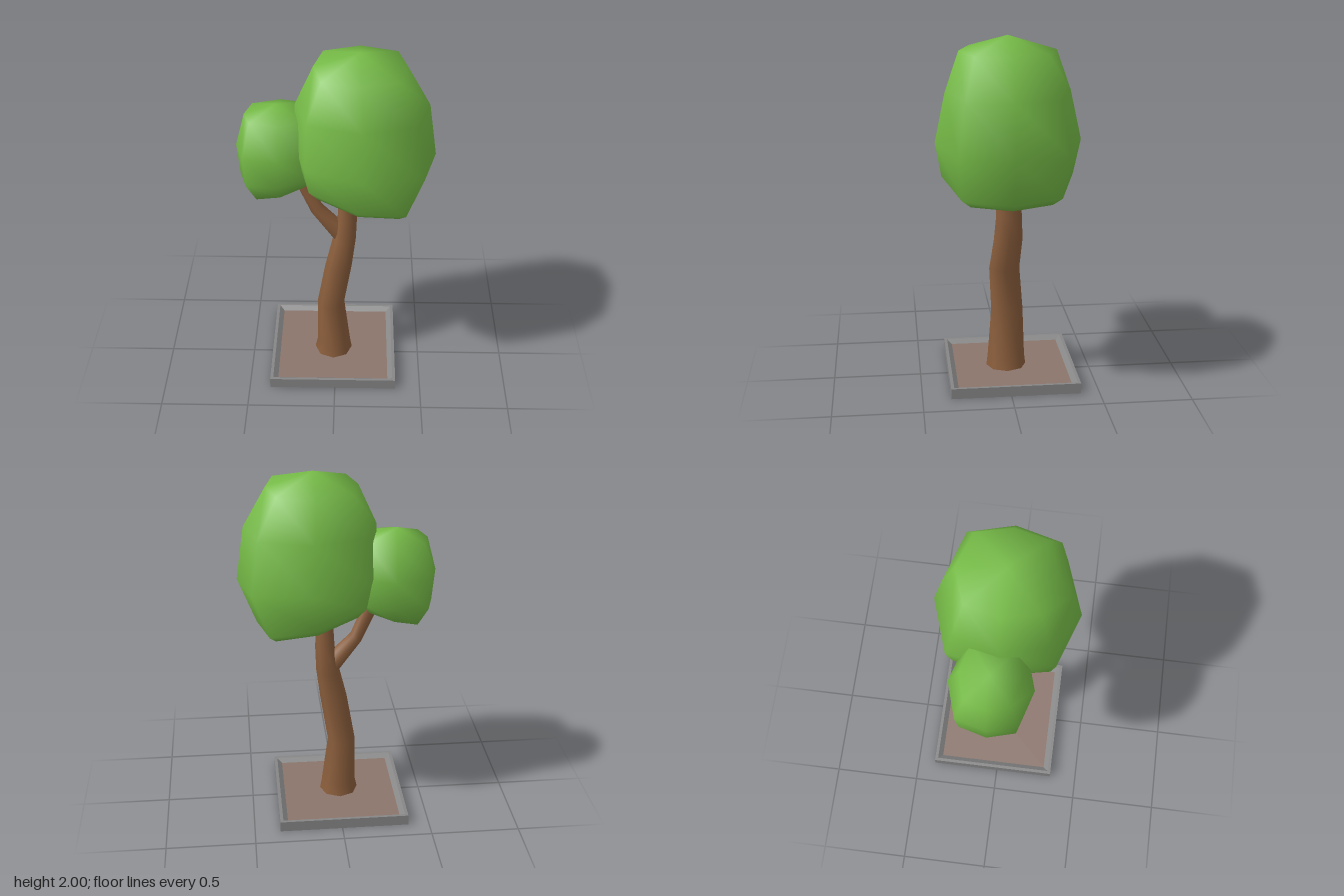
import * as THREE from 'three';
import { mergeVertices } from 'three/addons/utils/BufferGeometryUtils.js';

// Skin through rings; each ring is [x0, y0, x1, y1, zCentre, zRadius]:
// its -x and +x ends, so a ring may tilt, and its depth. Square > 0 fills out the corners.
function loft(rings, { sides = 8, phase = 0, square = 0, flat = false } = {}) {
  const pos = [];
  const index = [];
  const bulge = (v, p) => Math.sign(v) * Math.pow(Math.abs(v), p);
  for (const [x0, y0, x1, y1, zc, rz] of rings) {
    for (let s = 0; s < sides; s++) {
      const a = phase + (s / sides) * Math.PI * 2;
      const c = bulge(Math.cos(a), 1 - square * 0.4);
      const d = bulge(Math.sin(a), 1 - square * 0.12);
      const t = (c + 1) / 2;
      pos.push(x0 + (x1 - x0) * t, y0 + (y1 - y0) * t, zc + rz * d);
    }
  }
  for (let r = 0; r < rings.length - 1; r++) {
    for (let s = 0; s < sides; s++) {
      const a = r * sides + s;
      const d = r * sides + ((s + 1) % sides);
      index.push(a, a + sides, d + sides, a, d + sides, d);
    }
  }
  let geo = new THREE.BufferGeometry();
  geo.setAttribute('position', new THREE.Float32BufferAttribute(pos, 3));
  geo.setIndex(index);
  geo = flat ? geo.toNonIndexed() : mergeVertices(geo, 1e-4);
  geo.computeVertexNormals();
  return geo;
}

export function createModel() {
  const material = (name, color) => {
    const m = new THREE.MeshStandardMaterial({ color });
    m.name = name;
    return m;
  };
  const leaf = material('leaf green', 0x76bb47);
  const bark = material('bark brown', 0x8b5e3c);
  const stone = material('stone grey', 0x868686);
  const earth = material('earth brown', 0x8b756c);

  const model = new THREE.Group();
  model.name = 'tree';
  const add = (name, geo, mat) => {
    const mesh = new THREE.Mesh(geo, mat);
    mesh.name = name;
    model.add(mesh);
    return mesh;
  };

  // Square kerb with an inward-sloping lip, filled with earth
  const cx = -0.0125, cz = -0.0275;
  const profile = [[0.3675, 0], [0.3675, 0.06], [0.35, 0.06], [0.3225, 0.038], [0.3225, 0], [0.3675, 0]];
  const kerb = profile.map(([h, y]) => {
    const r = h * Math.SQRT2;
    return [cx - r, y, cx + r, y, cz, r];
  });
  add('kerb', loft(kerb, { sides: 4, phase: Math.PI / 4, flat: true }), stone);
  add('soil', new THREE.BoxGeometry(0.645, 0.03, 0.645), earth).position.set(cx, 0.023, cz);

  // Winding trunk, flared at the foot
  add('trunk', loft([
    [-0.128, 0.02, 0.1, 0.02, -0.005, 0.118],
    [-0.11, 0.1, 0.086, 0.1, -0.005, 0.108],
    [-0.108, 0.38, 0.05, 0.38, -0.013, 0.092],
    [-0.062, 0.65, 0.092, 0.65, 0.007, 0.087],
    [-0.018, 0.83, 0.115, 0.83, -0.012, 0.082],
    [0.01, 0.98, 0.12, 0.97, -0.015, 0.073],
    [0.022, 1.2, 0.115, 1.2, -0.008, 0.062],
    [0.025, 1.32, 0.11, 1.32, -0.008, 0.055],
  ]), bark);

  // Side branch
  add('branch', loft([
    [-0.01, 0.82, 0.06, 0.92, -0.015, 0.05],
    [-0.14, 1.0, -0.08, 1.055, -0.018, 0.045],
    [-0.23, 1.2, -0.155, 1.24, -0.025, 0.04],
    [-0.27, 1.3, -0.2, 1.33, -0.03, 0.036],
  ]), bark);

  // Large crown with a tilted underside
  add('largeCrown', loft([
    [0.13, 1.175, 0.13, 1.175, 0, 0],
    [-0.15, 1.25, 0.4, 1.1, 0, 0.3],
    [-0.2, 1.32, 0.445, 1.14, 0, 0.365],
    [-0.235, 1.46, 0.548, 1.4, 0, 0.4],
    [-0.22, 1.7, 0.505, 1.7, 0, 0.342],
    [-0.12, 1.92, 0.38, 1.92, 0, 0.265],
    [0.125, 2, 0.125, 2, 0, 0],
  ], { square: 1 }), leaf);

  // Small crown on the branch, tilted the other way
  add('smallCrown', loft([
    [-0.3, 1.19, -0.3, 1.19, -0.03, 0],
    [-0.47, 1.14, -0.14, 1.24, -0.03, 0.165],
    [-0.533, 1.25, -0.09, 1.3, -0.03, 0.21],
    [-0.55, 1.43, -0.06, 1.45, -0.03, 0.23],
    [-0.5, 1.62, -0.12, 1.63, -0.03, 0.165],
    [-0.33, 1.68, -0.33, 1.68, -0.03, 0],
  ], { square: 1 }), leaf);

  return model;
}
